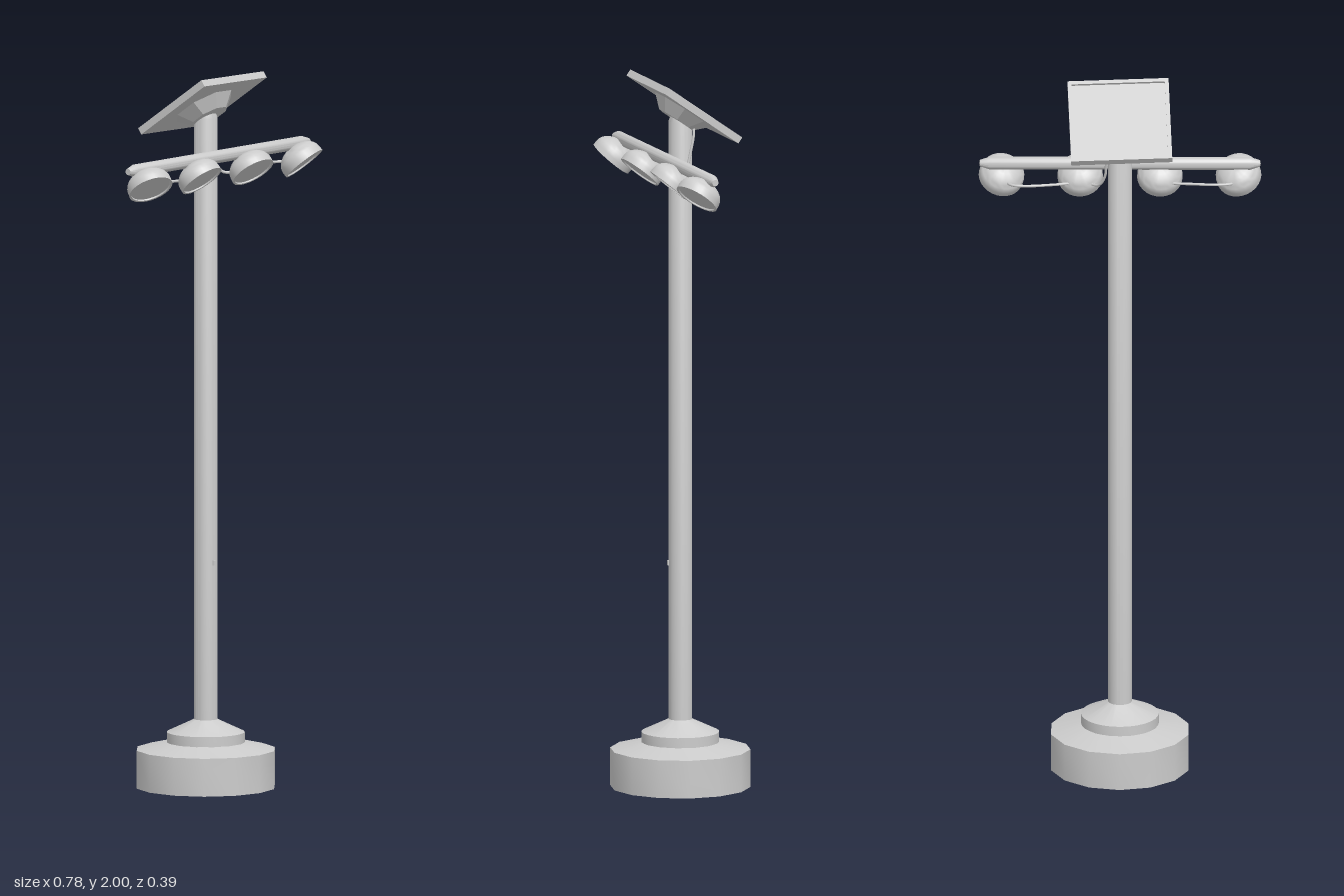
import * as THREE from 'three';
import { toCreasedNormals } from 'three/addons/utils/BufferGeometryUtils.js';

const DEG = Math.PI / 180;
const material = new THREE.MeshStandardMaterial({ color: 0xcccccc });
const doubleSided = new THREE.MeshStandardMaterial({ color: 0xcccccc, side: THREE.DoubleSide });

function add(parent, name, geometry, mat = material) {
  const mesh = new THREE.Mesh(geometry, mat);
  mesh.name = name;
  parent.add(mesh);
  return mesh;
}

// Lathe from [radius, y] pairs listed bottom to top, with sharp profile corners
function turned(pairs, segments, crease = 30) {
  const points = pairs.map(([r, y]) => new THREE.Vector2(r, y));
  return toCreasedNormals(new THREE.LatheGeometry(points, segments), crease * DEG);
}

function cable(parent, name, points) {
  const curve = new THREE.CatmullRomCurve3(points.map((p) => new THREE.Vector3(...p)));
  add(parent, name, new THREE.TubeGeometry(curve, 28, 0.004, 6));
}

function rectangle(target, w, h) {
  target.moveTo(-w / 2, -h / 2);
  target.lineTo(w / 2, -h / 2);
  target.lineTo(w / 2, h / 2);
  target.lineTo(-w / 2, h / 2);
  target.closePath();
  return target;
}

function createPanel() {
  const panel = new THREE.Group();
  panel.name = 'solarPanel';
  const w = 0.28, l = 0.268, t = 0.02;

  // Raised rim around a slightly sunken cell plate
  const outline = rectangle(new THREE.Shape(), w, l);
  outline.holes.push(rectangle(new THREE.Path(), w - 0.022, l - 0.022));
  const frame = new THREE.ExtrudeGeometry(outline, { depth: t, bevelEnabled: false });
  frame.rotateX(-Math.PI / 2).translate(0, -t / 2, 0);
  add(panel, 'panelFrame', frame);
  add(panel, 'panelCells', new THREE.BoxGeometry(w - 0.022, t - 0.007, l - 0.022)).position.y = -0.0035;

  // Eight-sided tapering mount under the plate
  const mount = new THREE.CylinderGeometry(0.09, 0.055, 0.034, 8, 1);
  mount.rotateY(Math.PI / 8);
  add(panel, 'panelMount', toCreasedNormals(mount, 30 * DEG)).position.y = -t / 2 - 0.017;

  panel.position.set(0, 1.912, -0.012);
  panel.rotation.set(-35 * DEG, 2.4 * DEG, 0);
  return panel;
}

function createLamp(x, yaw) {
  const lamp = new THREE.Group();
  lamp.name = 'lamp';

  // Domed housing: recessed lens, rim lip, short band, then the dome
  const profile = [[0, 0.004], [0.056, 0.004], [0.057, 0], [0.063, 0], [0.063, 0.014]];
  for (let i = 1; i <= 8; i++) {
    const a = (i / 8) * Math.PI / 2;
    profile.push([0.063 * Math.cos(a), 0.014 + 0.044 * Math.sin(a)]);
  }
  profile[profile.length - 1][0] = 0;
  add(lamp, 'lampHousing', turned(profile, 28, 35));

  lamp.position.set(x, 1.714, 0.079);
  lamp.rotation.set(-40 * DEG, yaw * DEG, 0, 'YXZ');
  return lamp;
}

export function createModel() {
  const model = new THREE.Group();
  model.name = 'solarLampPost';

  // Fourteen-sided footing with a sloped top and an open centre below
  add(model, 'footing', turned([
    [0.03, 0.1], [0.03, 0], [0.195, 0], [0.195, 0.106], [0.1, 0.128],
  ], 14), doubleSided);

  // Round collar tapering into the pole
  add(model, 'collar', turned([
    [0.108, 0.122], [0.108, 0.154], [0.036, 0.188], [0.033, 0.19],
  ], 28));
  add(model, 'pole', turned([
    [0.033, 0.1], [0.033, 1.872], [0.026, 1.892], [0, 1.892],
  ], 24), doubleSided);

  // Tiny fastener on the front of the pole
  add(model, 'poleBolt', new THREE.BoxGeometry(0.008, 0.014, 0.006)).position.set(-0.005, 0.63, 0.033);

  model.add(createPanel());

  // Horizontal bar with narrowed ends
  const bar = turned([
    [0, -0.39], [0.009, -0.388], [0.018, -0.36], [0.018, 0.36], [0.009, 0.388], [0, 0.39],
  ], 20);
  bar.rotateZ(-Math.PI / 2);
  add(model, 'crossbar', bar).position.set(0, 1.767, 0.045);

  // Two lamps per side, the outer ones turned outwards
  for (const side of [-1, 1]) {
    model.add(createLamp(side * 0.33, side * 20));
    model.add(createLamp(side * 0.11, side * -4));
  }

  // Cables linking the lamps and running up to the panel
  cable(model, 'leftLampCable', [
    [0.11, 1.715, 0.04], [0.14, 1.714, 0.027], [0.2, 1.715, 0.01], [0.26, 1.716, 0],
    [0.3, 1.716, 0.008], [0.32, 1.718, 0.04],
  ]);
  cable(model, 'rightLampCable', [
    [-0.11, 1.715, 0.045], [-0.14, 1.714, 0.03], [-0.2, 1.715, 0.02], [-0.27, 1.716, 0.012],
    [-0.31, 1.716, 0.02], [-0.325, 1.718, 0.045],
  ]);
  cable(model, 'panelCable', [
    [0.025, 1.87, -0.03], [0.035, 1.835, -0.026], [0.038, 1.79, -0.016],
    [0.042, 1.745, -0.004], [0.06, 1.715, 0.012], [0.1, 1.715, 0.04],
  ]);

  return model;
}
